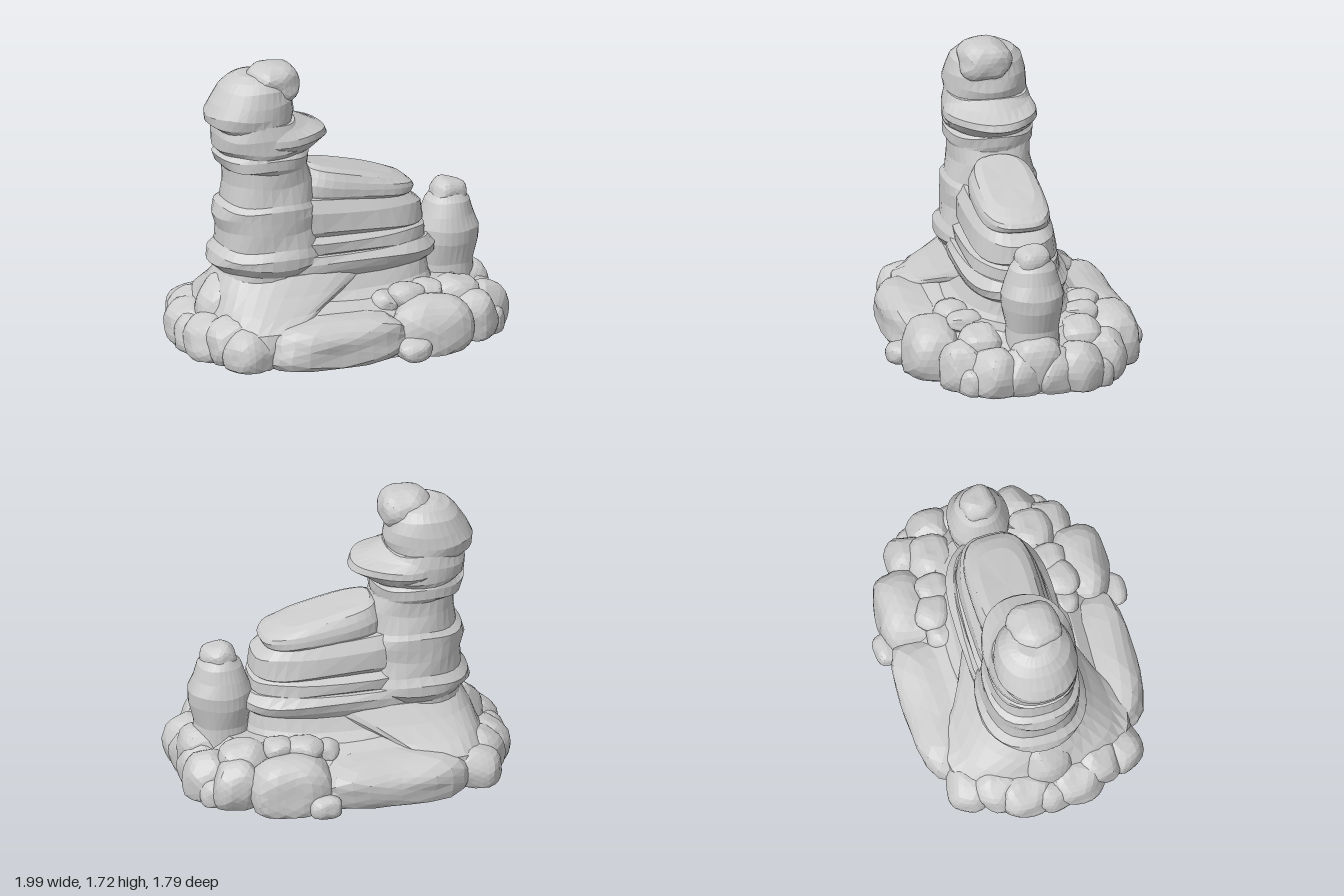
import * as THREE from 'three';

const stone = new THREE.MeshStandardMaterial({ color: 0xcccccc, flatShading: true });
stone.name = 'stone';

// Small seeded random source
function seeded(seed) {
  let s = seed * 7919 + 17;
  return () => { s = (s * 16807) % 2147483647; return s / 2147483647; };
}

// Chiselled blocky rock: a squared-off ball cut by random planes, flattened at the ground
function rock(name, seed, x, y, z, rx, ry, rz, turn = 0, block = 2.6) {
  const rnd = seeded(seed);
  for (let i = 0; i < 5; i++) rnd();
  const cuts = [];
  for (let i = 0; i < 20; i++) {
    const h = 1 - 2 * (i + 0.5) / 20, a = i * 2.4 + rnd() * 0.8, r = Math.sqrt(1 - h * h);
    cuts.push([new THREE.Vector3(r * Math.cos(a), h, r * Math.sin(a)), 0.9 + rnd() * 0.14]);
  }
  const g = new THREE.IcosahedronGeometry(1, 4), p = g.attributes.position, d = new THREE.Vector3();
  for (let i = 0; i < p.count; i++) {
    d.fromBufferAttribute(p, i).normalize();
    let sum = 0;
    for (const [n, dist] of cuts) sum += Math.pow(Math.max(0, n.dot(d)) / dist, 16);
    const norm = Math.pow(Math.abs(d.x) ** block + Math.abs(d.y) ** block + Math.abs(d.z) ** block, -1 / block);
    d.multiplyScalar(Math.min(1.06, Math.pow(sum, -1 / 16)) * norm);
    d.set(d.x * rx, d.y * ry, d.z * rz).applyAxisAngle(THREE.Object3D.DEFAULT_UP, turn);
    p.setXYZ(i, x + d.x, Math.max(0, y + d.y), z + d.z);
  }
  g.computeVertexNormals();
  const m = new THREE.Mesh(g, stone);
  m.name = name;
  return m;
}

// Layered stone: stacked rounded rings [y, xMin, xMax, halfWidth, slope along x]
function strata(name, rings, power = 0.8, wobble = 0.02) {
  const N = 32, pos = [], idx = [];
  const pw = (t) => Math.sign(t) * Math.pow(Math.abs(t), power);
  rings.forEach(([y, x0, x1, w, slope = 0], i) => {
    for (let j = 0; j < N; j++) {
      const t = (j / N) * Math.PI * 2;
      const k = 1 + wobble * (Math.cos(3 * t + Math.PI * (i % 2)) + Math.cos(5 * t) * Math.sin(i * 1.7));
      const x = (x0 + x1) / 2 + ((x1 - x0) / 2) * pw(Math.cos(t)) * k;
      const lift = y > 0 ? slope * x + wobble * 2 * w * Math.cos(4 * t + Math.PI * (i >> 1)) : 0;
      pos.push(x, y + lift, w * pw(Math.sin(t)) * k);
    }
  });
  for (let i = 0; i < rings.length - 1; i++) {
    for (let j = 0; j < N; j++) {
      const a = i * N + j, b = i * N + (j + 1) % N;
      idx.push(a, a + N, b, b, a + N, b + N);
    }
  }
  // Close both ends
  [0, rings.length - 1].forEach((i) => {
    const [y, x0, x1, , slope = 0] = rings[i], c = pos.length / 3, mid = (x0 + x1) / 2;
    pos.push(mid, y + (y > 0 ? slope * mid : 0), 0);
    for (let j = 0; j < N; j++) {
      const a = i * N + j, b = i * N + (j + 1) % N;
      if (i === 0) idx.push(c, a, b); else idx.push(c, b, a);
    }
  });
  const g = new THREE.BufferGeometry();
  g.setAttribute('position', new THREE.Float32BufferAttribute(pos, 3));
  g.setIndex(idx);
  g.computeVertexNormals();
  const m = new THREE.Mesh(g, stone);
  m.name = name;
  return m;
}

export function createModel() {
  const model = new THREE.Group();
  model.name = 'rockFormation';
  // The formation is symmetric about its long axis, which lies askew on the ground
  const axis = new THREE.Group();
  axis.name = 'formation';
  axis.rotation.y = THREE.MathUtils.degToRad(31);
  model.add(axis);

  // Ground mass and the scree apron that narrows towards the fin
  axis.add(strata('groundCore', [
    [0, -0.9, 0.92, 0.62], [0.14, -0.88, 0.9, 0.58], [0.23, -0.78, 0.82, 0.5], [0.31, -0.65, 0.74, 0.38]], 0.85));
  axis.add(strata('screeApron', [
    [0.1, -0.83, -0.28, 0.56], [0.2, -0.83, -0.28, 0.55], [0.28, -0.8, -0.1, 0.46],
    [0.37, -0.76, 0.08, 0.37], [0.46, -0.72, 0.28, 0.29]], 0.75, 0.01));

  // Tower with weathered ledges
  axis.add(strata('tower', [
    [0.2, -0.76, -0.12, 0.31], [0.38, -0.73, -0.14, 0.29], [0.47, -0.72, -0.12, 0.285],
    [0.52, -0.77, -0.08, 0.32], [0.57, -0.765, -0.08, 0.32], [0.62, -0.72, -0.1, 0.29],
    [0.72, -0.72, -0.11, 0.28], [0.8, -0.74, -0.11, 0.28], [0.86, -0.73, -0.12, 0.28],
    [0.89, -0.69, -0.15, 0.26], [1.0, -0.68, -0.16, 0.24], [1.09, -0.68, -0.19, 0.24],
    [1.11, -0.72, -0.19, 0.26], [1.17, -0.74, -0.18, 0.26], [1.19, -0.71, -0.2, 0.25],
    [1.22, -0.74, -0.18, 0.265], [1.3, -0.75, -0.2, 0.26], [1.38, -0.73, -0.27, 0.24]], 0.87, 0.012));
  axis.add(strata('towerBeak', [
    [1.17, -0.64, -0.2, 0.21], [1.21, -0.67, -0.14, 0.25], [1.26, -0.69, -0.06, 0.275],
    [1.3, -0.7, -0.07, 0.27], [1.34, -0.69, -0.18, 0.24], [1.38, -0.68, -0.26, 0.21]], 1, 0.01));
  axis.add(strata('towerHead', [
    [1.32, -0.72, -0.31, 0.22], [1.37, -0.79, -0.28, 0.24], [1.43, -0.8, -0.27, 0.245],
    [1.5, -0.76, -0.28, 0.235], [1.58, -0.71, -0.3, 0.21], [1.63, -0.66, -0.34, 0.16],
    [1.655, -0.6, -0.42, 0.1]], 0.95, 0.012));
  axis.add(rock('towerKnob', 4, -0.405, 1.59, 0.03, 0.15, 0.12, 0.155));

  // Long fin of stacked beds
  axis.add(strata('finBase', [
    [0.1, -0.6, 0.62, 0.43], [0.27, -0.58, 0.59, 0.39], [0.35, -0.55, 0.56, 0.32], [0.43, -0.55, 0.56, 0.28],
    [0.46, -0.55, 0.6, 0.3], [0.51, -0.55, 0.61, 0.31], [0.56, -0.55, 0.56, 0.28]], 0.68, 0.012));
  axis.add(strata('finLowerBed', [
    [0.53, -0.5, 0.5, 0.23], [0.56, -0.5, 0.55, 0.265], [0.63, -0.5, 0.54, 0.265],
    [0.67, -0.5, 0.48, 0.22]], 0.65, 0.012));
  axis.add(strata('finMiddleBed', [
    [0.63, -0.5, 0.48, 0.21, -0.02], [0.68, -0.5, 0.54, 0.25, -0.04], [0.8, -0.5, 0.52, 0.24, -0.06],
    [0.87, -0.5, 0.45, 0.2, -0.08]], 0.65, 0.012));
  axis.add(strata('finTopBed', [
    [0.83, -0.25, 0.4, 0.18, -0.08], [0.88, -0.25, 0.47, 0.21, -0.1], [0.93, -0.25, 0.48, 0.21, -0.14],
    [0.97, -0.23, 0.47, 0.2, -0.18], [1.01, -0.21, 0.43, 0.175, -0.23],
    [1.03, -0.18, 0.36, 0.13, -0.24]], 0.65, 0.006));

  // Lone pillar at the far end
  axis.add(strata('pillar', [
    [0.1, 0.54, 0.89, 0.165], [0.35, 0.55, 0.87, 0.155], [0.48, 0.53, 0.9, 0.18],
    [0.56, 0.53, 0.905, 0.183], [0.64, 0.56, 0.87, 0.16], [0.72, 0.59, 0.85, 0.135],
    [0.77, 0.63, 0.81, 0.1]], 0.95, 0.01));
  axis.add(rock('pillarCap', 6, 0.72, 0.755, 0, 0.105, 0.09, 0.1));

  // Mirrored boulders around the foot: name, x, y, z, radii, turn, blockiness
  const boulders = [
    ['sideSlab', -0.2, 0.1, 0.47, 0.43, 0.155, 0.23, -0.08, 3.2],
    ['cornerBoulder', -0.69, 0.08, 0.43, 0.17, 0.14, 0.145, 0.5],
    ['frontBoulder', -0.84, 0.09, 0.15, 0.14, 0.15, 0.17, 0],
    ['frontShoulder', -0.75, 0.11, 0.29, 0.17, 0.155, 0.15, 0.4, 2.2],
    ['largeBoulder', 0.4, 0.11, 0.525, 0.245, 0.2, 0.175, -0.12],
    ['smallBoulder', 0.24, 0.05, 0.67, 0.1, 0.07, 0.09, 0],
    ['upperPebble', 0.17, 0.26, 0.37, 0.08, 0.07, 0.09, 0],
    ['upperStone', 0.3, 0.29, 0.39, 0.11, 0.075, 0.1, 0.3],
    ['upperChip', 0.45, 0.3, 0.35, 0.09, 0.06, 0.1, 0],
    ['rearSideBoulder', 0.71, 0.11, 0.42, 0.15, 0.17, 0.14, 0, 2.3],
    ['rearStone', 0.65, 0.19, 0.3, 0.15, 0.15, 0.14, 0],
    ['rearBoulder', 0.835, 0.09, 0.25, 0.155, 0.175, 0.15, 0.3, 2.2],
    ['rearPebble', 0.82, 0.06, 0.37, 0.1, 0.1, 0.09, 0],
    ['rearEndBoulder', 0.86, 0.09, 0.1, 0.13, 0.16, 0.13, 0, 2.2],
  ];
  boulders.forEach(([name, x, y, z, rx, ry, rz, turn, block], i) => {
    for (const side of [1, -1]) axis.add(rock(name, i + 11, x, y, z * side, rx, ry, rz, turn * side, block));
  });
  // Single rocks on the long axis
  axis.add(rock('frontPeak', 31, -0.71, 0.18, 0, 0.17, 0.25, 0.17, 0, 2));
  axis.add(rock('frontFootRock', 32, -0.87, 0.07, 0, 0.12, 0.13, 0.13));
  axis.add(rock('rearFootRock', 33, 0.83, 0.15, 0, 0.13, 0.17, 0.15));
  return model;
}
